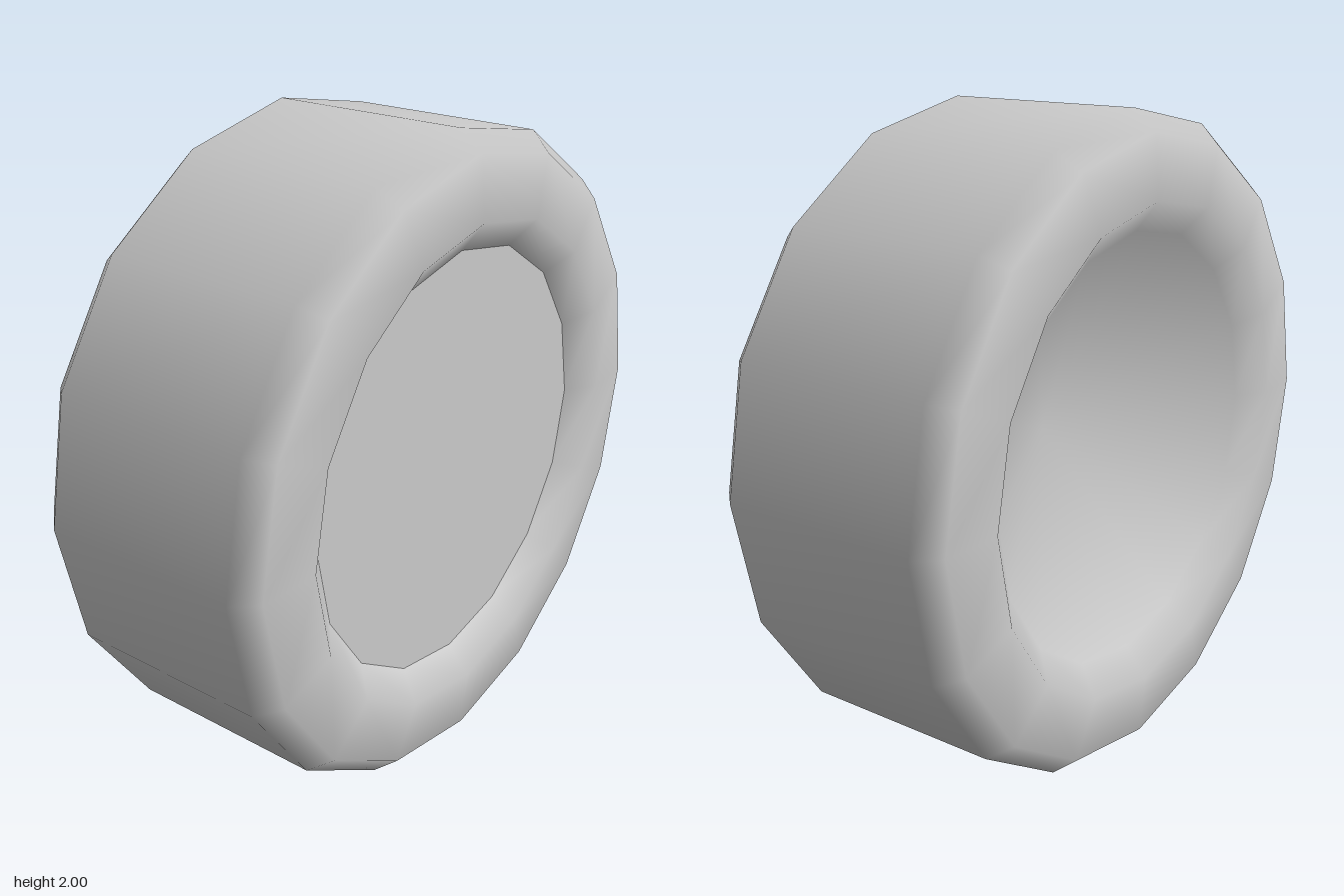
import * as THREE from 'three';
import { mergeVertices } from 'three/addons/utils/BufferGeometryUtils.js';

const SIDES = 16;
const HUB_RADIUS = 0.66;
const HUB_X = 0.33;

// Smooth 16-sided body turned about the x axis, with shared corners
function tyreGeometry() {
  // Half of the section as [radius, x], from hub edge to tread
  const half = [[HUB_RADIUS, HUB_X], [0.75, 0.4], [0.94, 0.385], [1, 0.315]];
  const points = [
    [0, 0], // the -x hub face is a hollow cone reaching the middle
    ...half.map(([r, x]) => [r, -x]),
    ...half.slice().reverse(),
  ].map(([r, x]) => new THREE.Vector2(r, x));

  const lathe = new THREE.LatheGeometry(points, SIDES).rotateZ(-Math.PI / 2);
  lathe.deleteAttribute('uv');
  lathe.deleteAttribute('normal');
  const welded = mergeVertices(lathe, 1e-4);
  welded.computeVertexNormals();
  return welded;
}

export function createModel() {
  const group = new THREE.Group();
  group.name = 'wheel';
  const material = new THREE.MeshStandardMaterial({ color: 0xcccccc, side: THREE.DoubleSide });

  const tyre = new THREE.Mesh(tyreGeometry(), material);
  tyre.name = 'tyre';

  // Separate flat hub plate on the +x side
  const plate = new THREE.Mesh(new THREE.CircleGeometry(HUB_RADIUS, SIDES).rotateY(Math.PI / 2), material);
  plate.name = 'hubPlate';
  plate.position.x = HUB_X;

  for (const part of [tyre, plate]) {
    part.position.y = 1;
    group.add(part);
  }
  return group;
}
